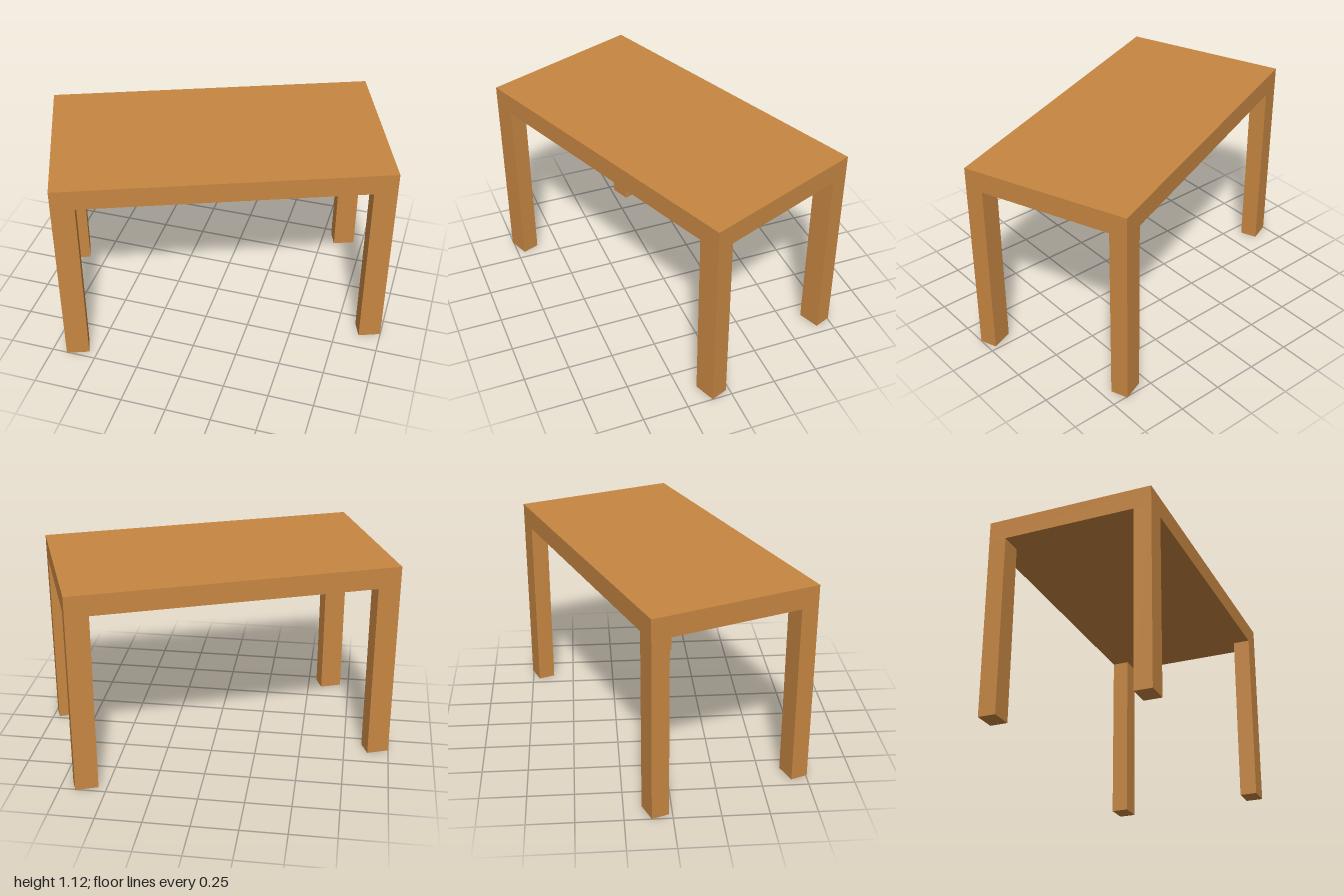
import * as THREE from 'three';

const LENGTH = 1.784, DEPTH = 0.928, HEIGHT = 1.123, TOP = 0.115;
const LEG_W = 0.125, LEG_D = 0.097;

export function createModel() {
  const wood = new THREE.MeshStandardMaterial({ color: 0xc68642 });
  wood.name = 'wood';

  const table = new THREE.Group();
  table.name = 'table';

  const addBox = (name, w, h, d, x, y, z) => {
    const mesh = new THREE.Mesh(new THREE.BoxGeometry(w, h, d), wood);
    mesh.name = name;
    mesh.position.set(x, y, z);
    table.add(mesh);
  };

  // Tabletop slab
  addBox('tabletop', LENGTH, TOP, DEPTH, 0, HEIGHT - TOP / 2, 0);

  // Four legs, flush with the corners of the top
  const legH = HEIGHT - TOP;
  for (const [side, sx] of [['Left', 1], ['Right', -1]]) {
    for (const [end, sz] of [['front', 1], ['back', -1]]) {
      addBox(`${end}${side}Leg`, LEG_W, legH, LEG_D,
        sx * (LENGTH - LEG_W) / 2, legH / 2, sz * (DEPTH - LEG_D) / 2);
    }
  }

  // The whole table stands turned about the vertical axis
  table.rotation.y = THREE.MathUtils.degToRad(21.25);

  const model = new THREE.Group();
  model.name = 'model';
  model.add(table);
  return model;
}
